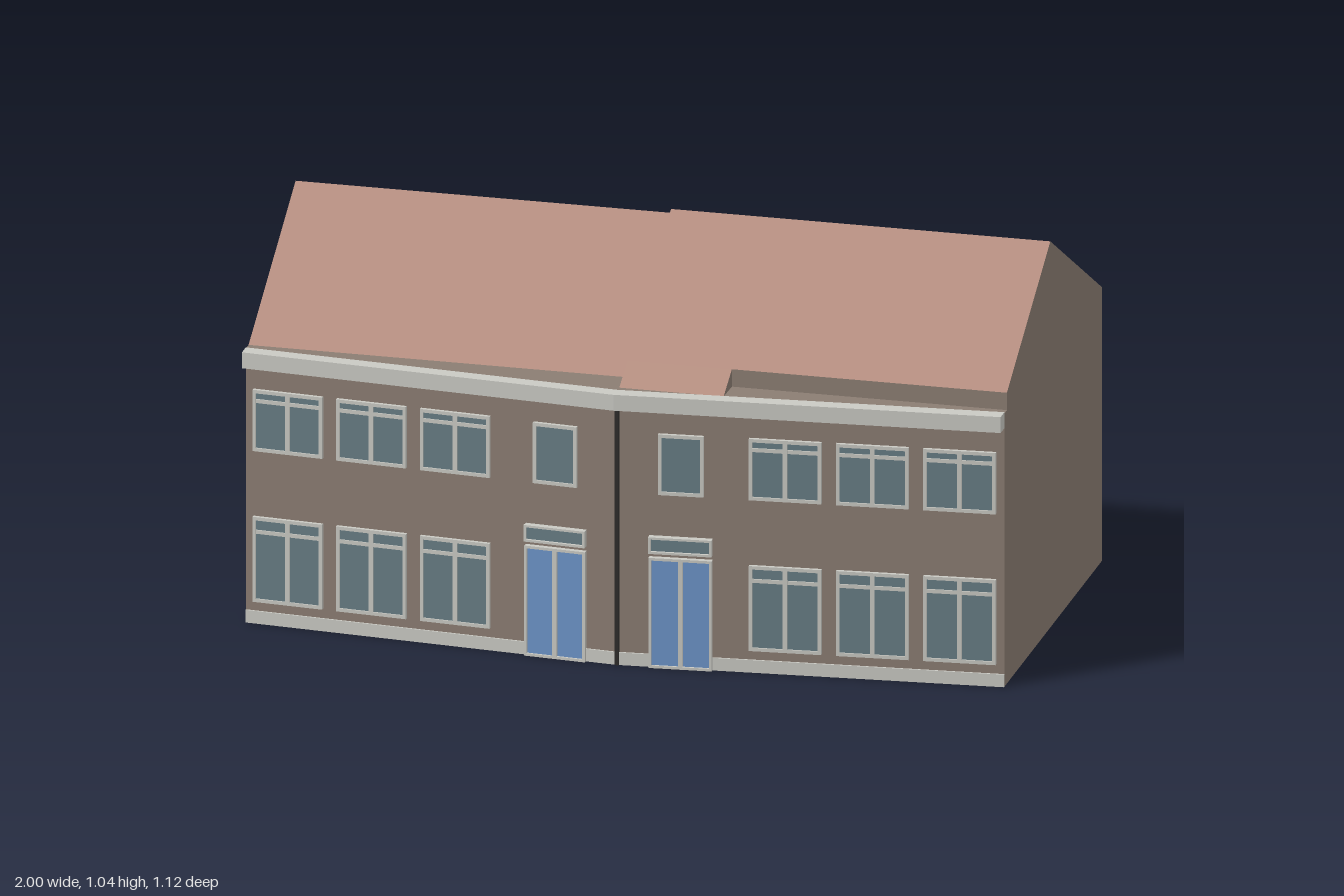
import * as THREE from 'three';

const mat = (name, color) => {
  const m = new THREE.MeshStandardMaterial({ color });
  m.name = name;
  return m;
};

export function createModel() {
  const wall = mat('brick', 0x8b7d72);
  const roof = mat('roofTile', 0xb58e80);
  const trim = mat('trim', 0xc9c9c3);
  const glass = mat('glass', 0x677d84);
  const blue = mat('doorBlue', 0x6c94c8);
  const dark = mat('pipeDark', 0x2e2c2a);

  const model = new THREE.Group();
  model.name = 'terracedHouses';
  const EAVE = 0.74, BACK = -0.56, MID = 0.52, END = 0.44;

  const add = (parent, name, geometry, material) => {
    const mesh = new THREE.Mesh(geometry, material);
    mesh.name = name;
    parent.add(mesh);
    return mesh;
  };

  // Box given by its left, right, bottom, top, back and front
  const box = (parent, name, material, x0, x1, y0, y1, z0, z1) => {
    const mesh = add(parent, name, new THREE.BoxGeometry(x1 - x0, y1 - y0, z1 - z0), material);
    mesh.position.set((x0 + x1) / 2, (y0 + y1) / 2, (z0 + z1) / 2);
    return mesh;
  };

  // Plan outline in [x, z], raised from y0 to y1
  const plan = (name, material, points, y0, y1) => {
    const shape = new THREE.Shape(points.map(([x, z]) => new THREE.Vector2(x, -z)));
    const g = new THREE.ExtrudeGeometry(shape, { depth: y1 - y0, bevelEnabled: false });
    g.rotateX(-Math.PI / 2).translate(0, y0, 0);
    return add(model, name, g, material);
  };

  // Flat convex polygons, corners counter-clockwise from outside
  const faces = (name, material, polygons) => {
    const pos = [];
    for (const p of polygons)
      for (let i = 1; i < p.length - 1; i++) pos.push(...p[0], ...p[i], ...p[i + 1]);
    const g = new THREE.BufferGeometry();
    g.setAttribute('position', new THREE.Float32BufferAttribute(pos, 3));
    g.computeVertexNormals();
    return add(model, name, g, material);
  };

  // Walls with the gently bowed front, and the bands that follow it
  plan('walls', wall, [[-1, BACK], [-1, END], [0, MID], [1, END], [1, BACK]], 0, EAVE);
  const band = (name, out, y0, y1) => plan(name, trim, [
    [-1, END], [-1, END + out], [0, MID + out], [1, END + out], [1, END], [0, MID],
  ], y0, y1);
  band('cornice', 0.04, 0.7, EAVE + 0.003);
  band('plinth', 0.005, 0, 0.034);

  // Sloping roof strip between two [z, y] edges
  const front = (x0, x1, [zl, yl], [zh, yh]) =>
    [[x0, yl, zl], [x1, yl, zl], [x1, yh, zh], [x0, yh, zh]];
  const back = (x0, x1, [zl, yl], [zh, yh]) =>
    [[x1, yl, zl], [x0, yl, zl], [x0, yh, zh], [x1, yh, zh]];
  // Upright polygon across the house, facing +x or -x
  const gable = (x, side, points) => {
    const p = points.map(([z, y]) => [x, y, z]);
    return side > 0 ? p : p.reverse();
  };

  const rear = [BACK, EAVE];
  const ridgeL = [-0.07, 1.02], ridgeR = [-0.03, 1.045];
  const footL = [0.412, EAVE], footR = [0.415, 0.787], footLow = [0.5, EAVE + 0.002];
  const stepBase = [0.415, EAVE], stepX = 0.275;
  faces('leftRoof', roof, [front(-1, 0, footL, ridgeL), back(-1, 0, rear, ridgeL)]);
  faces('rightRoof', roof, [
    front(0, 1, footR, ridgeR),
    front(0, stepX, footLow, footR),
    back(0, 1, rear, ridgeR),
  ]);
  faces('gables', wall, [
    gable(-1, -1, [footL, rear, ridgeL]),
    gable(1, 1, [stepBase, rear, ridgeR, footR]),
    gable(0, -1, [footLow, rear, ridgeR]),
    gable(stepX, 1, [footLow, stepBase, footR]),
    front(stepX, 1, stepBase, footR),
  ]);

  // Framed panel with optional centre mullion and crossbar
  const panel = (parent, name, x, w, y0, y1, opt = {}) => {
    const { fill = glass, mullion = false, bar = 0, t = 0.009, depth = 0.01 } = opt;
    const g = new THREE.Group();
    g.name = name;
    g.position.x = x;
    parent.add(g);
    const h = w / 2;
    box(g, 'pane', fill, -h + t, h - t, y0 + t, y1 - t, 0, depth * 0.6);
    box(g, 'frameLeft', trim, -h, -h + t, y0, y1, 0, depth);
    box(g, 'frameRight', trim, h - t, h, y0, y1, 0, depth);
    box(g, 'frameBottom', trim, -h + t, h - t, y0, y0 + t, 0, depth);
    box(g, 'frameTop', trim, -h + t, h - t, y1 - t, y1, 0, depth);
    if (mullion) box(g, 'mullion', trim, -0.006, 0.006, y0 + t, y1 - t, 0, depth);
    if (bar) box(g, 'crossbar', trim, -h + t, h - t, bar - 0.005, bar + 0.005, 0, depth * 0.95);
    return g;
  };

  // Front openings on each angled half
  const angle = Math.atan(MID - END);
  for (const s of [-1, 1]) {
    const facade = new THREE.Group();
    facade.name = s < 0 ? 'facadeOnRight' : 'facadeOnLeft';
    facade.position.z = MID;
    facade.rotation.y = s * angle;
    model.add(facade);
    for (const x of [0.436, 0.662, 0.888]) {
      panel(facade, 'upperWindow', s * x, 0.188, 0.468, 0.634, { mullion: true, bar: 0.604 });
      panel(facade, 'lowerWindow', s * x, 0.188, 0.06, 0.29, { mullion: true, bar: 0.25 });
    }
    panel(facade, 'smallWindow', s * 0.166, 0.118, 0.468, 0.632);
    panel(facade, 'door', s * 0.165, 0.164, 0, 0.298,
      { fill: blue, mullion: true, t: 0.007, depth: 0.014 });
    panel(facade, 'doorTransom', s * 0.165, 0.164, 0.31, 0.355, { t: 0.006, depth: 0.018 });
  }

  // Downpipe at the party wall
  box(model, 'downpipe', dark, -0.005, 0.005, 0, 0.7, MID - 0.005, MID + 0.008);

  // Rear windows
  const rearWall = new THREE.Group();
  rearWall.name = 'rearWindows';
  rearWall.position.z = BACK;
  rearWall.rotation.y = Math.PI;
  model.add(rearWall);
  for (const x of [-0.885, -0.627, -0.37, -0.118, 0.163, 0.515, 0.85]) {
    panel(rearWall, 'upperRearWindow', -x, 0.146, 0.48, 0.672, { t: 0.008, depth: 0.005 });
    panel(rearWall, 'lowerRearWindow', -x, 0.146, 0.105, 0.33, { t: 0.008, depth: 0.005 });
  }

  return model;
}
